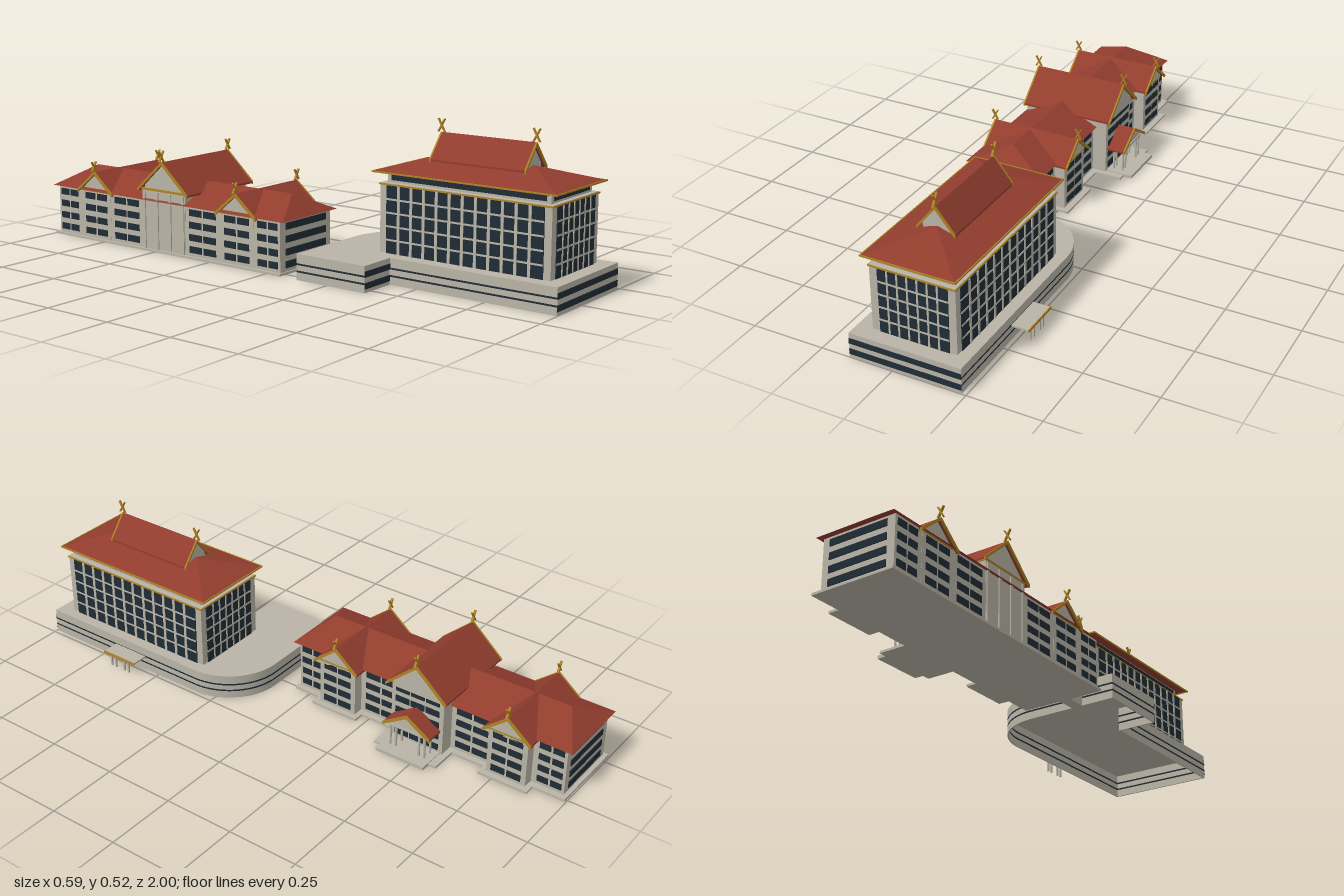
import * as THREE from 'three';

const mat = (name, color) => Object.assign(new THREE.MeshStandardMaterial({ color }), { name });

export function createModel() {
  const stone = mat('stone', 0xb9b4a6), roofRed = mat('roof red', 0x923d2e);
  const glass = mat('dark glass', 0x202c36), gold = mat('gold trim', 0xad8224);
  const model = new THREE.Group();
  model.name = 'buildingComplex';

  const add = (parent, name, geo, m) => {
    const mesh = new THREE.Mesh(geo, m);
    mesh.name = name;
    parent.add(mesh);
    return mesh;
  };
  const group = (name, parent = model) => {
    const g = new THREE.Group();
    g.name = name;
    parent.add(g);
    return g;
  };
  // Box given by its extents
  const box = (parent, name, m, x0, x1, y0, y1, z0, z1) => {
    const mesh = add(parent, name, new THREE.BoxGeometry(x1 - x0, y1 - y0, z1 - z0), m);
    mesh.position.set((x0 + x1) / 2, (y0 + y1) / 2, (z0 + z1) / 2);
    return mesh;
  };
  const poly = pts => new THREE.Shape(pts.map(p => new THREE.Vector2(...p)));
  const extrude = (shape, depth) =>
    new THREE.ExtrudeGeometry(shape, { depth, bevelEnabled: false, curveSegments: 14 });

  // Hip roof over a rectangle, ridge along z from r0 to r1
  const hipRoof = (parent, name, x0, x1, z0, z1, y0, y1, r0, r1) => {
    const xm = (x0 + x1) / 2;
    const a = [x0, y0, z0], b = [x1, y0, z0], c = [x1, y0, z1], d = [x0, y0, z1];
    const p = [xm, y1, r0], q = [xm, y1, r1];
    const tris = [a, p, b, d, c, q, b, p, q, b, q, c, a, d, q, a, q, p, a, b, c, a, c, d];
    const geo = new THREE.BufferGeometry();
    geo.setAttribute('position', new THREE.Float32BufferAttribute(tris.flat(), 3));
    geo.computeVertexNormals();
    return add(parent, name, geo, roofRed);
  };

  // Gable roof, ridge along local z, centred: half-width w, eave y0, ridge y1
  const gableRoof = (parent, name, w, y0, y1, len, finial = 0) => {
    const g = group(name, parent);
    const chevron = (k, t) => poly([[-w * k, y0], [0, y1], [w * k, y0],
      [w * k, y0 - t], [0, y1 - t], [-w * k, y0 - t]]);
    add(g, 'roofSlopes', extrude(chevron(1, 0.007), len), roofRed).position.z = -len / 2;
    const inner = len - 0.024, v = w * 0.8, s = (y1 - y0) / w;
    const wall = poly([[-v, y0 - 0.012], [v, y0 - 0.012], [v, y1 - s * v - 0.005],
      [0, y1 - 0.005], [-v, y1 - s * v - 0.005]]);
    add(g, 'gableWall', extrude(wall, inner), stone).position.z = -inner / 2;
    for (const e of [-1, 1]) {
      const board = add(g, 'bargeboard', extrude(chevron(1.01, 0.011), 0.006), gold);
      board.position.set(0, 0.001, e * len / 2 - 0.003);
      if (!finial) continue;
      for (const t of [-1, 1]) {
        const stick = add(g, 'crossedFinial', new THREE.BoxGeometry(0.008, finial * 1.15, 0.004), gold);
        stick.position.set(0, y1 + finial * 0.52, e * len / 2);
        stick.rotation.x = t * 0.52;
      }
    }
    return g;
  };

  // Window wall facing local +z with stone mullions of width m
  const windowWall = (parent, w, h, cols, rows, m, x, y, z, ry) => {
    const g = group('windowWall', parent);
    g.position.set(x, y, z);
    g.rotation.y = ry;
    box(g, 'glazing', glass, -w / 2, w / 2, 0, h, -0.002, 0.002);
    for (let i = 1; i < cols; i++) {
      const u = -w / 2 + w * i / cols;
      box(g, 'mullion', stone, u - m / 2, u + m / 2, 0, h, 0, 0.004);
    }
    for (let j = 1; j < rows; j++) {
      const u = h * j / rows;
      box(g, 'transom', stone, -w / 2, w / 2, u - 0.003, u + 0.003, 0, 0.0035);
    }
  };

  // Podium: hollow wall with a rounded corner and thin dark lines, closed by a deck
  const podium = group('podium');
  const outline = i => {
    const s = new THREE.Shape();
    s.moveTo(-0.285 + i, -0.13 - i);
    s.lineTo(0.04, -0.13 - i);
    s.absellipse(0.04, -0.33, 0.195 - i, 0.2 - i, Math.PI / 2, 0, true);
    s.lineTo(0.235 - i, -0.998 + i);
    s.lineTo(-0.15 + i, -0.998 + i);
    s.lineTo(-0.15 + i, -0.4 + i);
    s.lineTo(-0.285 + i, -0.4 + i);
    s.closePath();
    return s;
  };
  const levels = [0, 0.026, 0.032, 0.05, 0.056, 0.082, 0.087];
  for (let i = 0; i < 6; i++) {
    const shape = outline(0);
    if (i < 5) shape.holes.push(new THREE.Path(outline(0.005).getPoints(14).reverse()));
    const dark = i === 1 || i === 3;
    const layer = add(podium, i === 5 ? 'deck' : dark ? 'darkLine' : 'wallBand',
      extrude(shape, levels[i + 1] - levels[i]), dark ? glass : stone);
    layer.rotation.x = -Math.PI / 2;
    layer.position.y = levels[i];
  }
  // Wide window bands on the front faces
  for (const y of [0.012, 0.05]) {
    box(podium, 'frontWindowBand', glass, -0.15, 0.235, y, y + 0.019, 0.997, 1);
    box(podium, 'frontWindowBand', glass, -0.285, -0.15, y, y + 0.019, 0.399, 0.402);
  }

  // Entrance canopy on the podium
  const canopy = group('canopy');
  box(canopy, 'canopySlab', stone, 0.235, 0.293, 0.048, 0.054, 0.56, 0.7);
  box(canopy, 'canopyTrim', gold, 0.293, 0.297, 0.047, 0.055, 0.558, 0.702);
  for (const z of [0.595, 0.615, 0.655, 0.675])
    box(canopy, 'canopyPost', stone, 0.283, 0.289, 0, 0.048, z - 0.003, z + 0.003);

  // Tower
  const tower = group('tower');
  box(tower, 'towerBody', stone, -0.098, 0.193, 0.087, 0.309, 0.325, 0.945);
  windowWall(tower, 0.238, 0.221, 7, 5, 0.006, 0.049, 0.087, 0.946, 0);
  windowWall(tower, 0.238, 0.221, 7, 5, 0.006, 0.049, 0.087, 0.324, Math.PI);
  windowWall(tower, 0.57, 0.221, 12, 5, 0.01, 0.194, 0.087, 0.635, Math.PI / 2);
  windowWall(tower, 0.57, 0.221, 12, 5, 0.01, -0.099, 0.087, 0.635, -Math.PI / 2);
  box(tower, 'goldCornice', gold, -0.101, 0.196, 0.308, 0.313, 0.321, 0.949);
  box(tower, 'corniceTop', stone, -0.098, 0.193, 0.312, 0.3145, 0.324, 0.946);
  box(tower, 'attic', stone, -0.078, 0.175, 0.314, 0.348, 0.34, 0.93);
  box(tower, 'atticWindowsEnds', glass, -0.063, 0.16, 0.322, 0.344, 0.338, 0.932);
  box(tower, 'atticWindowsSides', glass, -0.08, 0.177, 0.322, 0.344, 0.355, 0.915);
  hipRoof(tower, 'towerHipRoof', -0.112, 0.206, 0.302, 0.966, 0.35, 0.4, 0.46, 0.8);
  for (const x of [-0.112, 0.206])
    box(tower, 'eaveTrimSide', gold, x - 0.002, x + 0.002, 0.347, 0.352, 0.3, 0.968);
  for (const z of [0.302, 0.966])
    box(tower, 'eaveTrimEnd', gold, -0.114, 0.208, 0.347, 0.352, z - 0.002, z + 0.002);
  gableRoof(tower, 'towerUpperRoof', 0.065, 0.392, 0.472, 0.345, 0.042).position.set(0.047, 0, 0.632);

  // Covered link between the buildings
  const link = group('link');
  box(link, 'linkWalls', stone, -0.165, -0.125, 0, 0.047, 0.04, 0.14);
  hipRoof(link, 'linkRoof', -0.177, -0.113, 0.04, 0.14, 0.045, 0.065, 0.041, 0.139);

  // Long building
  const hall = group('hall');
  box(hall, 'baseSlab', stone, -0.285, 0.012, 0, 0.008, -0.995, 0.06);
  box(hall, 'hallBody', stone, -0.275, -0.01, 0.008, 0.18, -0.98, 0.055);
  hipRoof(hall, 'hallRoof', -0.286, 0.003, -1, 0.075, 0.18, 0.245, -0.915, -0.002);

  // Floors of windows
  const floors = [0.02, 0.062, 0.105, 0.148];
  const spans = [[-0.04, 0.045], [-0.342, -0.222], [-0.698, -0.578], [-0.97, -0.882]];
  for (const y of floors) {
    box(hall, 'endWindowBand', glass, -0.247, -0.035, y, y + 0.023, -0.983, 0.058);
    for (const [z0, z1] of spans) {
      const mid = (z0 + z1) / 2;
      for (const [a, b] of [[z0, mid - 0.004], [mid + 0.004, z1]])
        box(hall, 'hallWindow', glass, -0.277, -0.008, y, y + 0.023, a, b);
    }
  }

  // Side wings with cross gables
  for (const z of [-0.13, -0.79]) {
    const wing = group('sideWing', hall);
    box(wing, 'wingSlab', stone, -0.2, 0.05, 0, 0.008, z - 0.09, z + 0.09);
    box(wing, 'wingBody', stone, -0.2755, 0.028, 0.008, 0.18, z - 0.072, z + 0.072);
    for (const y of floors)
      for (const s of [-1, 1])
        box(wing, 'wingWindow', glass, -0.277, 0.031, y, y + 0.023, z + s * 0.029 - 0.025, z + s * 0.029 + 0.025);
    box(wing, 'gableBeam', gold, -0.278, 0.033, 0.176, 0.181, z - 0.073, z + 0.073);
    const roof = gableRoof(wing, 'wingRoof', 0.087, 0.178, 0.25, 0.326, 0.036);
    roof.rotation.y = Math.PI / 2;
    roof.position.set(-0.12, 0, z);
  }

  // Central wing, taller, with an entrance porch
  const centre = group('centralWing', hall), zc = -0.46;
  box(centre, 'centralSlab', stone, -0.2, 0.11, 0, 0.008, zc - 0.12, zc + 0.12);
  box(centre, 'centralBody', stone, -0.276, 0.042, 0.008, 0.218, zc - 0.1, zc + 0.1);
  for (const y of [...floors, 0.188])
    for (const s of [-1, 0, 1])
      box(centre, 'centralWindow', glass, 0.03, 0.045, y, y + 0.022, zc + s * 0.058 - 0.026, zc + s * 0.058 + 0.026);
  for (const s of [-1.5, -0.5, 0.5, 1.5])
    box(centre, 'rearPilaster', stone, -0.28, -0.27, 0, 0.21, zc + s * 0.06 - 0.006, zc + s * 0.06 + 0.006);
  box(centre, 'gableBeam', gold, -0.278, 0.046, 0.214, 0.221, zc - 0.102, zc + 0.102);
  const mainRoof = gableRoof(centre, 'centralRoof', 0.115, 0.217, 0.32, 0.343, 0.038);
  mainRoof.rotation.y = Math.PI / 2;
  mainRoof.position.set(-0.1115, 0, zc);

  const porch = group('porch', centre);
  box(porch, 'porchSlab', stone, 0.04, 0.142, 0, 0.011, zc - 0.092, zc + 0.092);
  for (const x of [0.06, 0.095])
    for (const s of [-0.066, -0.045, 0.045, 0.066]) {
      const col = add(porch, 'porchColumn', new THREE.CylinderGeometry(0.004, 0.004, 0.082, 8), stone);
      col.position.set(x, 0.052, zc + s);
    }
  box(porch, 'porchBeam', stone, 0.04, 0.1, 0.088, 0.096, zc - 0.074, zc + 0.074);
  const porchRoof = gableRoof(porch, 'porchRoof', 0.09, 0.098, 0.155, 0.085);
  porchRoof.rotation.y = Math.PI / 2;
  porchRoof.position.set(0.066, 0, zc);

  return model;
}
